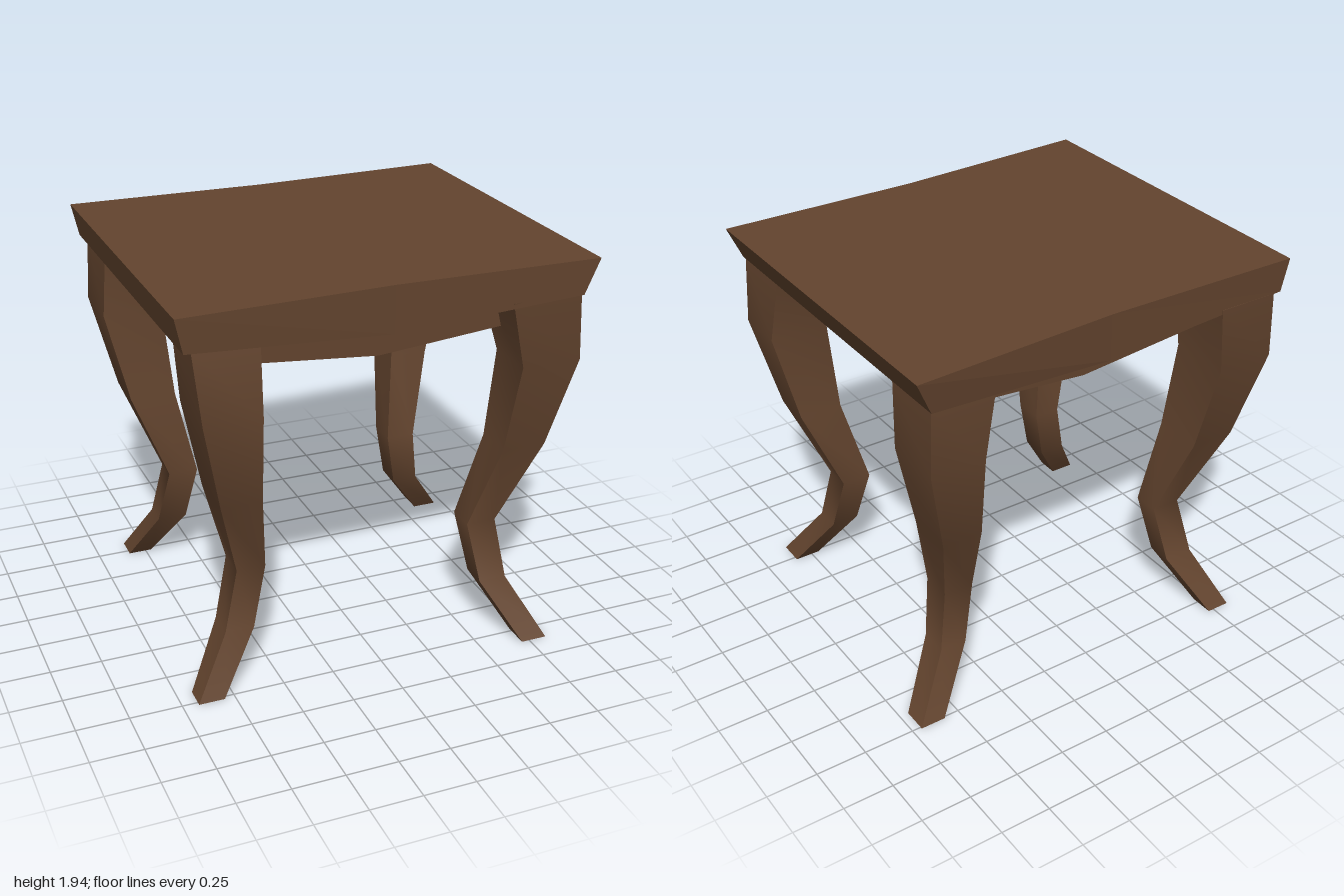
import * as THREE from 'three';

// Skins a stack of rings (listed top to bottom, each clockwise seen from above).
// Every side strip has its own vertices, so corners stay sharp.
function loft(rings, smooth) {
  const n = rings[0].length, pos = [], idx = [];
  for (let s = 0; s < n; s++) {
    const base = pos.length / 3;
    rings.forEach((r, k) => {
      pos.push(...r[s], ...r[(s + 1) % n]);
      if (k === 0) return;
      const a = base + 2 * (k - 1);
      idx.push(a, a + 1, a + 2, a + 1, a + 3, a + 2);
    });
  }
  // Caps, split into quads across the ring
  [rings[0], rings[rings.length - 1]].forEach((r, bottom) => {
    const base = pos.length / 3;
    r.forEach((p) => pos.push(...p));
    for (let i = 0; i < n / 2 - 1; i++) {
      const [a, b, c, d] = [n - 1 - i, n - 2 - i, i + 1, i].map((v) => v + base);
      if (bottom) idx.push(a, c, b, a, d, c);
      else idx.push(a, b, c, a, c, d);
    }
  });
  let g = new THREE.BufferGeometry();
  g.setAttribute('position', new THREE.Float32BufferAttribute(pos, 3));
  g.setIndex(idx);
  if (!smooth) g = g.toNonIndexed();
  g.computeVertexNormals();
  return g;
}

// Heights of the leg sections
const LEG_Y = [1.78, 1.45, 1.0, 0.57, 0.28, 0];

// Each leg: side signs, then [inner, outer] distances in x and z at each height
const LEGS = [
  { name: 'frontRightLeg', sx: -1, sz: 1,
    x: [[.62, .925], [.63, .90], [.605, .80], [.535, .675], [.61, .75], [.80, .925]],
    z: [[.58, .845], [.58, .895], [.53, .795], [.46, .615], [.51, .655], [.66, .77]] },
  { name: 'frontLeftLeg', sx: 1, sz: 1,
    x: [[.57, .915], [.65, .945], [.62, .84], [.51, .66], [.555, .695], [.71, .84]],
    z: [[.51, .845], [.565, .82], [.53, .73], [.47, .61], [.55, .68], [.73, .86]] },
  { name: 'backLeftLeg', sx: 1, sz: -1,
    x: [[.60, .915], [.66, .93], [.62, .82], [.56, .71], [.62, .755], [.83, .955]],
    z: [[.55, .86], [.575, .87], [.54, .77], [.435, .59], [.48, .62], [.635, .76]] },
  { name: 'backRightLeg', sx: -1, sz: -1,
    x: [[.62, .925], [.65, .945], [.61, .84], [.52, .67], [.57, .72], [.72, .84]],
    z: [[.52, .86], [.54, .85], [.50, .75], [.46, .59], [.53, .655], [.72, .84]] },
];

function legRing(leg, k) {
  const xs = leg.x[k].map((v) => v * leg.sx).sort((a, b) => a - b);
  const zs = leg.z[k].map((v) => v * leg.sz).sort((a, b) => a - b);
  const y = LEG_Y[k];
  return [[xs[0], y, zs[0]], [xs[1], y, zs[0]], [xs[1], y, zs[1]], [xs[0], y, zs[1]]];
}

// Six-point ring with a fold along x = 0
const foldedRing = (x, z, yEnd, yMid) => [
  [-x, yEnd, -z], [0, yMid, -z], [x, yEnd, -z], [x, yEnd, z], [0, yMid, z], [-x, yEnd, z],
];

export function createModel() {
  const group = new THREE.Group();
  const wood = new THREE.MeshStandardMaterial({ color: 0x63442e });
  wood.name = 'brown wood';
  const add = (name, geometry) => {
    const mesh = new THREE.Mesh(geometry, wood);
    mesh.name = name;
    group.add(mesh);
  };

  // Tabletop: slightly bowed slab, tapering at the ends, with a sloped underside
  const apronTop = foldedRing(0.68, 0.66, 1.745, 1.67);
  add('tabletop', loft([
    [[-1, 1.94, -.865], [0, 1.94, -.85], [1, 1.94, -.9], [1, 1.94, .85], [0, 1.94, .835], [-1, 1.94, .88]],
    [[-.965, 1.78, -.86], [0, 1.715, -.85], [.925, 1.775, -.88], [.925, 1.775, .85], [0, 1.715, .835], [-.965, 1.78, .875]],
    apronTop,
  ], false));

  // Apron: solid block with a shallow V-shaped bottom
  add('apron', loft([apronTop, foldedRing(0.68, 0.66, 1.61, 1.55)], false));

  // Curved legs, each bending in at the ankle and splaying at the foot
  for (const leg of LEGS) {
    add(leg.name, loft(LEG_Y.map((_, k) => legRing(leg, k)), true));
  }
  return group;
}
